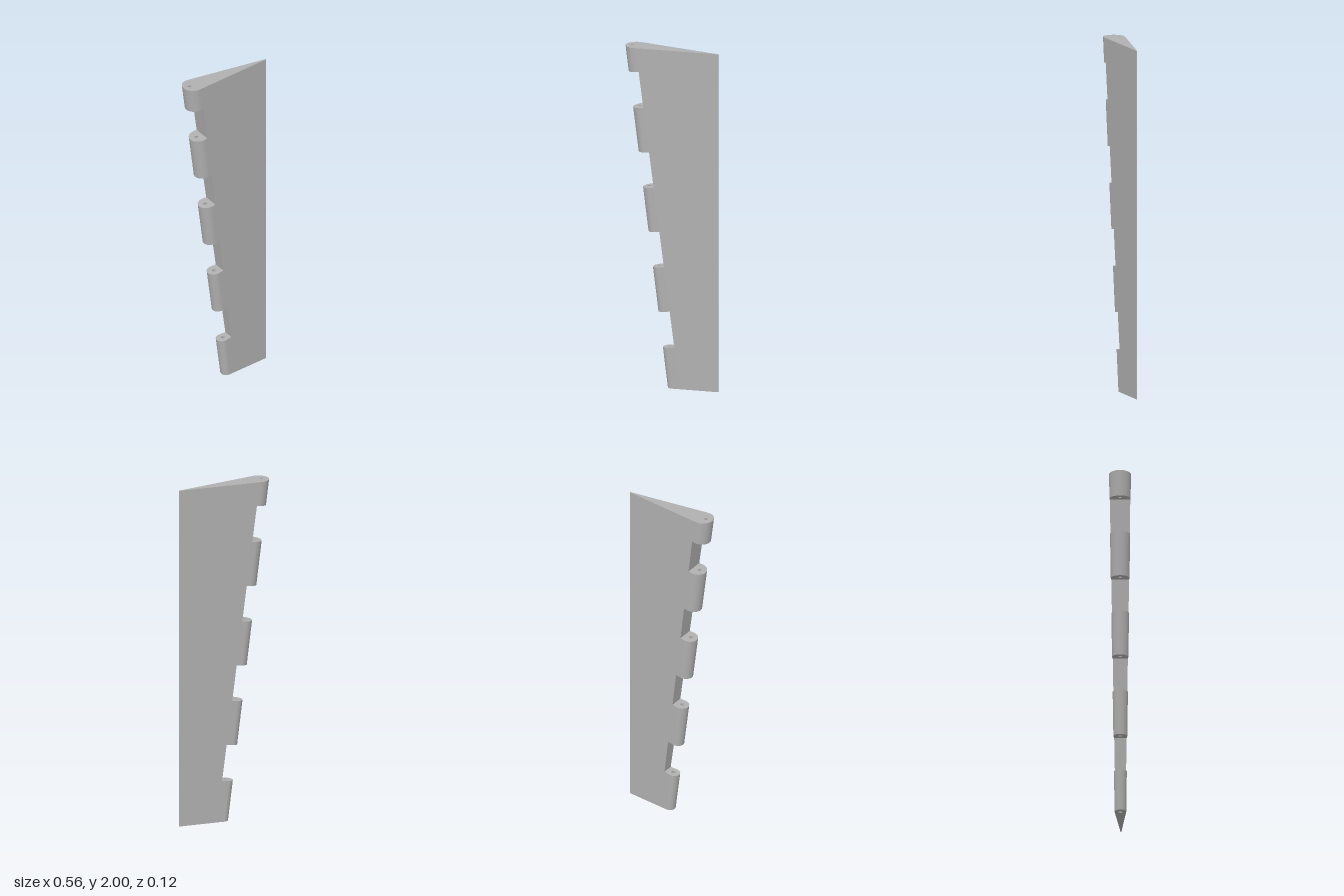
import * as THREE from 'three';
import { mergeGeometries } from 'three/addons/utils/BufferGeometryUtils.js';

const HEIGHT = 2, NOTCH = 0.08, TRAIL_X = 0.279, TRAIL_Z = 0.002;
const LEAD_BOTTOM = -0.025, LEAD_TOP = -0.28, R_BOTTOM = 0.033, R_TOP = 0.062;
const SLOPE = (LEAD_BOTTOM - LEAD_TOP) / HEIGHT; // hinge cuts are square to the leading edge
const leadX = (y) => LEAD_BOTTOM + (LEAD_TOP - LEAD_BOTTOM) * y / HEIGHT;

// Cross-section pieces at one end of the blade, as [x, z] points
function section(lead, r) {
  const c = lead + r, tilt = Math.asin((r - TRAIL_Z) / (TRAIL_X - c));
  const a0 = Math.PI / 2 - tilt, arc = [];
  for (let i = 0; i <= 24; i++) {
    const a = a0 + (2 * Math.PI - 2 * a0) * i / 24;
    arc.push([c + r * Math.cos(a), r * Math.sin(a)]);
  }
  const [tx, tz] = arc[0], wx = lead + NOTCH;
  const wz = tz + (TRAIL_Z - tz) * (wx - tx) / (TRAIL_X - tx);
  const hole = [];
  for (let i = 0; i <= 16; i++) {
    const a = -i / 16 * Math.PI * 2;
    hole.push([lead + 0.04 + 0.011 * Math.cos(a), 0.011 * Math.sin(a)]);
  }
  return {
    nose: [[wx, wz], ...arc, [wx, -wz]],
    hole,
    flankFront: [[TRAIL_X, TRAIL_Z], [wx, wz]],
    notchWall: [[wx, wz], [wx, -wz]],
    flankBack: [[wx, -wz], [TRAIL_X, -TRAIL_Z]],
    trailingEdge: [[TRAIL_X, -TRAIL_Z], [TRAIL_X, TRAIL_Z]],
    body: [[TRAIL_X, TRAIL_Z], [wx, wz], [wx, -wz], [TRAIL_X, -TRAIL_Z]],
  };
}
const low = section(LEAD_BOTTOM, R_BOTTOM), high = section(LEAD_TOP, R_TOP);

// Points of one piece where the tapering blade meets a cut plane
function cut(piece, { y, k }) {
  return low[piece].map(([bx, bz], i) => {
    const [hx, hz] = high[piece][i];
    const t = (y + k * (bx - leadX(y))) / (HEIGHT - k * (hx - bx));
    return [bx + (hx - bx) * t, HEIGHT * t, bz + (hz - bz) * t];
  });
}

function toGeometry(points, index) {
  const g = new THREE.BufferGeometry();
  g.setAttribute('position', new THREE.Float32BufferAttribute(points.flat(), 3));
  g.setIndex(index);
  g.computeVertexNormals();
  return g;
}

// Side surface between two cuts
function wall(piece, from, to, steps = 1) {
  const a = cut(piece, from), b = cut(piece, to), n = a.length, points = [], index = [];
  for (let s = 0; s <= steps; s++) {
    for (let i = 0; i < n; i++) points.push(a[i].map((v, j) => v + (b[i][j] - v) * s / steps));
  }
  for (let s = 0; s < steps; s++) {
    for (let i = 0; i < n - 1; i++) {
      const p = s * n + i;
      index.push(p, p + n, p + 1, p + 1, p + n, p + n + 1);
    }
  }
  return toGeometry(points, index);
}

// End face in a cut plane, with an optional pin hole
function cap(piece, plane, up, holed) {
  const outer = cut(piece, plane), inner = holed ? cut('hole', plane).slice(0, -1) : [];
  const flat = (p) => new THREE.Vector2(p[0], p[2]);
  const faces = THREE.ShapeUtils.triangulateShape(outer.map(flat), holed ? [inner.map(flat)] : []);
  const points = [...outer, ...inner], index = [];
  for (const [i, j, k] of faces) {
    const [a, b, c] = [points[i], points[j], points[k]];
    const ny = (b[2] - a[2]) * (c[0] - a[0]) - (b[0] - a[0]) * (c[2] - a[2]);
    index.push(...((ny > 0) === up ? [i, j, k] : [i, k, j]));
  }
  return toGeometry(points, index);
}

export function createModel() {
  const group = new THREE.Group();
  const grey = new THREE.MeshStandardMaterial({ color: 0xb0b0b0, side: THREE.DoubleSide });
  grey.name = 'grey';
  const add = (name, parts) => {
    const mesh = new THREE.Mesh(mergeGeometries(parts), grey);
    mesh.name = name;
    group.add(mesh);
  };

  // Tapered blade behind the hinge line
  const floor = { y: 0, k: 0 }, top = { y: HEIGHT, k: 0 };
  add('blade', [
    ...['flankFront', 'notchWall', 'flankBack', 'trailingEdge'].map((p) => wall(p, floor, top, 16)),
    cap('body', floor, false, false),
    cap('body', top, true, false),
  ]);

  // Rounded hinge knuckles along the leading edge, bored for a pin
  const tilted = (y) => ({ y, k: SLOPE });
  const knuckles = [
    [floor, tilted(0.235)],
    [tilted(0.445), tilted(0.705)],
    [tilted(0.913), tilted(1.172)],
    [tilted(1.38), tilted(1.64)],
    [tilted(1.85), top],
  ];
  knuckles.forEach(([from, to], i) => add(`hingeKnuckle${i + 1}`, [
    wall('nose', from, to, 4),
    wall('hole', from, to),
    cap('nose', from, false, true),
    cap('nose', to, true, true),
  ]));
  return group;
}
